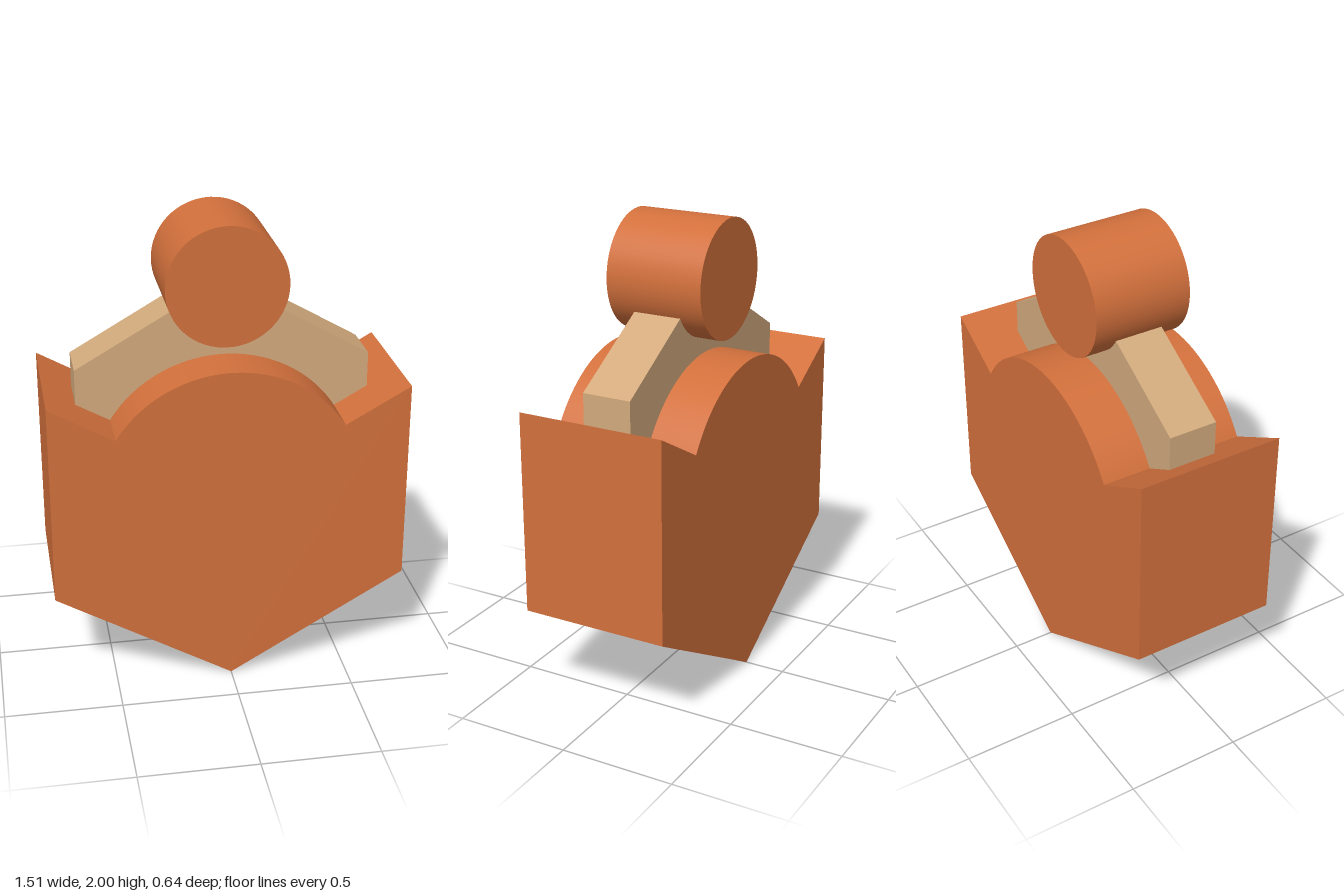
import * as THREE from 'three';
import { toCreasedNormals } from 'three/addons/utils/BufferGeometryUtils.js';

const orange = new THREE.MeshStandardMaterial({ color: 0xd2703c });
const tan = new THREE.MeshStandardMaterial({ color: 0xd2aa7d });

// Prism centred on z = 0, smooth on curves and sharp at corners
function prism(name, shape, depth, material) {
  const geometry = new THREE.ExtrudeGeometry(shape, { depth, bevelEnabled: false, curveSegments: 40 });
  geometry.translate(0, 0, -depth / 2);
  const mesh = new THREE.Mesh(toCreasedNormals(geometry, 0.4), material);
  mesh.name = name;
  return mesh;
}

export function createModel() {
  const model = new THREE.Group();
  model.name = 'hexagonalOrnament';

  // Hexagonal body whose top is cut down to two shoulders and a round arch
  const notchX = 0.48, notchY = 1.155, archY = 0.853, archR = 0.567;
  const angle = Math.atan2(notchY - archY, notchX);
  const body = new THREE.Shape();
  body.moveTo(0, 0);
  body.lineTo(0.755, 0.437);
  body.lineTo(0.755, 1.31);
  body.lineTo(notchX, notchY);
  body.absarc(0, archY, archR, angle, Math.PI - angle, false);
  body.lineTo(-0.755, 1.31);
  body.lineTo(-0.755, 0.437);
  body.closePath();
  model.add(prism('body', body, 0.645, orange));

  // Thin hexagonal plate set into the body
  const plateR = 0.718, plateY = 1.027;
  const corners = [];
  for (let i = 0; i < 6; i++) {
    const a = Math.PI / 2 + (i * Math.PI) / 3;
    corners.push(new THREE.Vector2(plateR * Math.cos(a), plateY + plateR * Math.sin(a)));
  }
  model.add(prism('innerPlate', new THREE.Shape(corners), 0.215, tan));

  // Round knob across the plate's top corner
  const knobGeometry = new THREE.CylinderGeometry(0.255, 0.255, 0.435, 64);
  knobGeometry.rotateX(Math.PI / 2);
  const knob = new THREE.Mesh(knobGeometry, orange);
  knob.name = 'topKnob';
  knob.position.y = 1.745;
  model.add(knob);

  return model;
}
